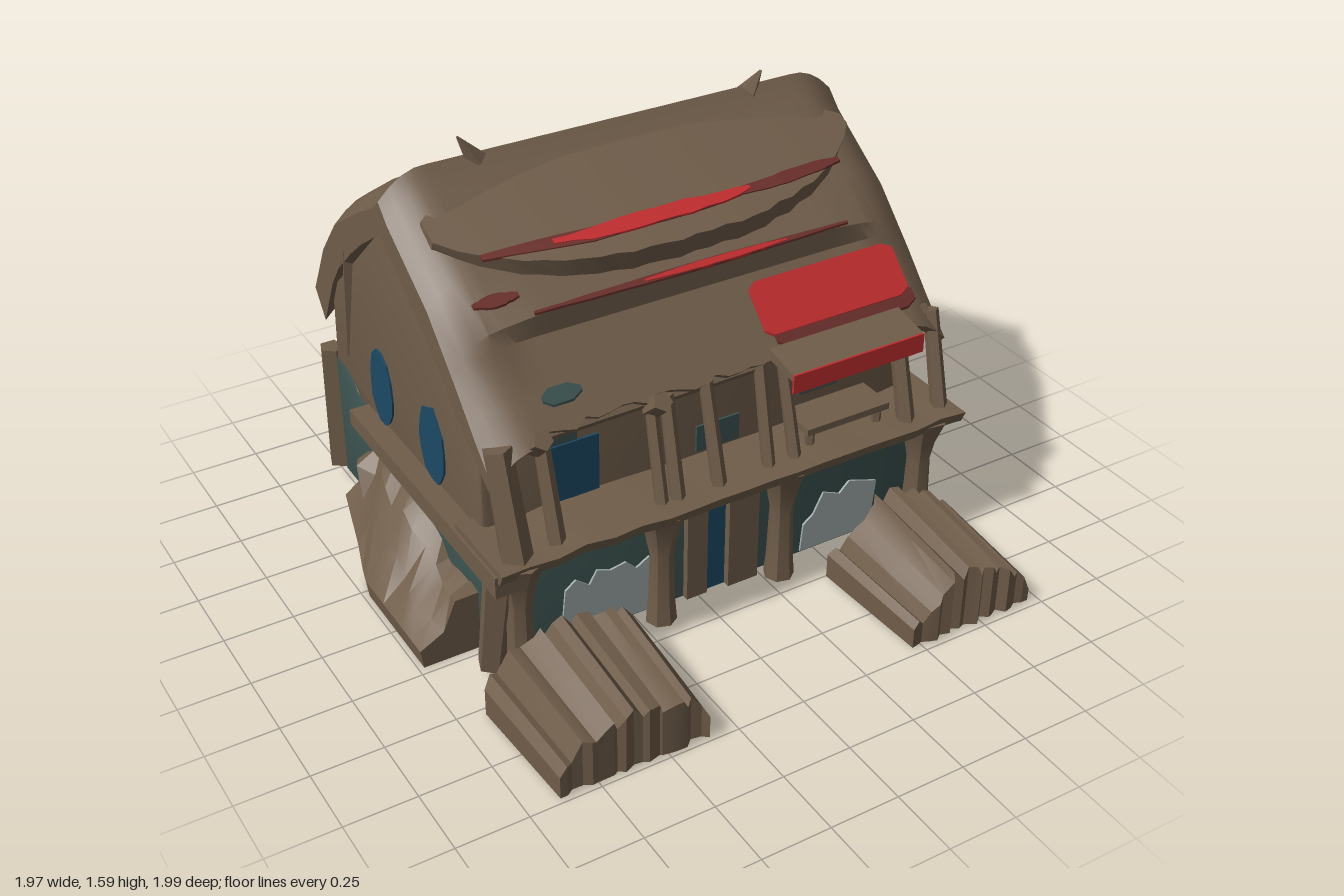
import * as THREE from 'three';
import { toCreasedNormals } from 'three/addons/utils/BufferGeometryUtils.js';

const mat = (name, color) => Object.assign(new THREE.MeshStandardMaterial({ color }), { name });

export function createModel() {
  const house = new THREE.Group();
  house.name = 'house';
  const wood = mat('weathered wood', 0x705d4a);
  const teal = mat('teal plaster', 0x3c5350);
  const red = mat('red paint', 0xc22d2f);
  const darkRed = mat('faded red', 0x6b302b);
  const blue = mat('blue glass', 0x1c4a66);
  const pale = mat('pale plaster', 0x9eaaa8);

  let seed = 7;
  const rnd = (a = 1) => {
    seed = (seed * 16807) % 2147483647;
    return (seed / 2147483647 - 0.5) * 2 * a;
  };
  const add = (name, material, geo) => {
    const m = new THREE.Mesh(geo, material);
    m.name = name;
    house.add(m);
    return m;
  };
  const box = (name, m, x0, x1, y0, y1, z0, z1) => {
    const b = add(name, m, new THREE.BoxGeometry(x1 - x0, y1 - y0, z1 - z0));
    b.position.set((x0 + x1) / 2, (y0 + y1) / 2, (z0 + z1) / 2);
  };
  // Joins equal closed sections; each section is an outer line, then an inner line running back
  const loft = (name, m, rows, crease = 0.6) => {
    const pos = [], n = rows[0].length, last = rows.length - 1;
    const quad = (a, b, c, d) => pos.push(...a, ...b, ...c, ...a, ...c, ...d);
    for (let i = 0; i < last; i++)
      for (let j = 0; j < n; j++) {
        const k = (j + 1) % n;
        quad(rows[i][j], rows[i][k], rows[i + 1][k], rows[i + 1][j]);
      }
    for (let j = 0; j < n / 2 - 1; j++) {
      const c = r => [r[j], r[j + 1], r[n - 2 - j], r[n - 1 - j]];
      quad(...c(rows[last]));
      quad(...c(rows[0]).reverse());
    }
    const g = new THREE.BufferGeometry();
    g.setAttribute('position', new THREE.Float32BufferAttribute(pos, 3));
    g.computeVertexNormals();
    add(name, m, toCreasedNormals(g, crease));
  };
  const steps = (a, b, n) => Array.from({ length: n + 1 }, (_, i) => a + (b - a) * i / n);
  const shapeOf = pts => new THREE.Shape(pts.map(p => new THREE.Vector2(...p)));
  // Side profile in [z, y], drawn out along x with softened edges
  const prism = (name, m, pts, x0, x1, bevel = 0.02) => {
    const g = new THREE.ExtrudeGeometry(shapeOf(pts), {
      depth: x1 - x0 - 2 * bevel, bevelEnabled: bevel > 0, bevelSize: bevel,
      bevelOffset: -bevel, bevelThickness: bevel, bevelSegments: 2
    });
    g.rotateY(-Math.PI / 2).translate(x1 - bevel, 0, 0);
    add(name, m, toCreasedNormals(g, 0.7));
  };
  // Thin painted plate on a wall
  const plate = (name, m, pts, x, y, z, ry = 0) => {
    const p = add(name, m, new THREE.ExtrudeGeometry(shapeOf(pts), { depth: 0.008, bevelEnabled: false }));
    p.position.set(x, y, z);
    p.rotation.y = ry;
  };
  const rect = (w, h) => [[-w / 2, -h / 2], [w / 2, -h / 2], [w / 2, h / 2], [-w / 2, h / 2]];
  const blob = (w, h, wobble = 0.15) => steps(0, 13, 13).map(i => {
    const a = i / 14 * Math.PI * 2, r = 1 + rnd(wobble);
    return [Math.cos(a) * w / 2 * r, Math.sin(a) * h / 2 * r];
  });
  const beam = (name, a, b, r0, r1 = r0) => {
    const s = new THREE.Vector3(...a), e = new THREE.Vector3(...b), d = e.clone().sub(s);
    const g = new THREE.CylinderGeometry(r1, r0, d.length(), 5).toNonIndexed();
    const m = add(name, wood, toCreasedNormals(g, 0.5));
    m.position.copy(s).add(e).multiplyScalar(0.5);
    m.quaternion.setFromUnitVectors(new THREE.Vector3(0, 1, 0), d.normalize());
  };

  // Walls
  prism('lowerWalls', teal, [[0.39, 0.05], [0.39, 0.43], [0.1, 0.45], [-0.4, 0.46], [-0.72, 0.5],
    [-0.78, 0.56], [-0.91, 0.57], [-0.91, 0.05]].reverse(), -0.77, 0.945, 0.025);
  prism('upperWalls', wood, [[0.27, 0.4], [0.27, 0.95], [-0.33, 1.43], [-0.88, 0.98], [-0.905, 0.53],
    [-0.76, 0.51], [-0.7, 0.47], [-0.4, 0.43]].reverse(), -0.765, 0.94, 0.02);

  // Main roof: drooping ends, a fold on the front slope, ragged back eave that meets the wall
  const roofXs = steps(-0.79, 0.965, 40);
  loft('roof', wood, roofXs.map(x => {
    const edge = Math.max(0, Math.min(x + 0.79, 0.965 - x)), droop = Math.max(0, 1 - edge / 0.16) ** 2 * 0.09;
    const fold = Math.min(1, edge / 0.3);
    const j = 0.03 * Math.sin(x * 13) * Math.sin(x * 29 + 1) + rnd(0.01);
    const cut = x > -0.6 && x < 0.27 ? 0.025 + rnd(0.012) : 0;
    const sec = [[-0.965 + j, 0.91 + j], [-0.86, 1.1 + rnd(0.008)], [-0.73, 1.26], [-0.5, 1.41], [-0.38, 1.475], [-0.33, 1.52],
      [-0.27, 1.46], [0, 1.28], [0.17 - 0.02 * (1 - fold), 1.13 + 0.045 * fold], [0.17 + 0.01 * (1 - fold), 1.1],
      [0.3, 0.97], [0.41 - cut, 0.86 + cut],
      [0.38 - cut, 0.83 + cut], [0.27, 0.91], [0.13, 1.02], [0.11, 1.05], [-0.05, 1.19], [-0.28, 1.36],
      [-0.33, 1.4], [-0.38, 1.37], [-0.5, 1.29], [-0.7, 1.13], [-0.8, 1.0], [-0.9 + j * 0.4, 0.81 + j]];
    return sec.map(([z, y]) => [x, y - droop, z]);
  }));
  [[-0.5, 1.585], [0.67, 1.56]].forEach(([x, y]) =>
    beam('ridgeSpike', [x + (x > 0 ? -0.06 : 0.06), 1.49, -0.33], [x, y, -0.335], 0.04, 0.004));

  // Curved overlay sheet lifted off the front slope
  const sheetY = (z, x) => 1.455 - 0.38 * (z + 0.25) - 0.035 * ((x - 0.09) / 0.82) ** 2;
  const lip = x => 0.165 - 0.25 * Math.abs((x - 0.07) / 0.82) ** 2.4;
  loft('roofOverlay', wood, steps(-0.71, 0.91, 28).map(x => {
    const t = Math.abs((x - 0.1) / 0.81), back = -0.27 + 0.08 * t ** 8;
    const z = lip(x) - 0.04 * t ** 10 + rnd(0.006), m = (z + back) / 2, f = 1 - t ** 3;
    return [[back, sheetY(back, x)], [m, sheetY(m, x)], [z, sheetY(z, x)],
      [z - 0.015, sheetY(z, x) - 0.03 - 0.04 * f], [m, sheetY(m, x) - 0.12], [back, 1.35]].map(([a, y]) => [x, y, a]);
  }));
  // Painted streaks that follow a roof surface
  const streak = (name, m, x0, x1, zAt, half, yAt, lift = 0.004) =>
    loft(name, m, steps(x0, x1, 12).map((x, i) => {
      const w = half * (0.3 + 0.7 * Math.sin(Math.PI * i / 12)) + rnd(half * 0.1), z = zAt(x);
      return [[z - w, 0], [z + w, 0], [z + w, -0.008], [z - w, -0.008]].map(([a, d]) => [x, yAt(a, x) + d + lift, a]);
    }));
  const arc = x => 0.055 - 0.12 * Math.max(0, Math.abs(x - 0.02) - 0.25);
  streak('overlayStreak', red, -0.36, 0.38, arc, 0.03, sheetY, 0.007);
  streak('overlayFadedStreak', darkRed, -0.6, 0.5, arc, 0.028, sheetY);
  streak('overlayFadedStreakEnd', darkRed, 0.35, 0.77, x => arc(x) + 0.01, 0.024, sheetY);
  const foldY = z => 1.178 - (z - 0.17) * 0.65;
  streak('foldStreak', darkRed, -0.5, 0.7, () => 0.166, 0.011, foldY, 0.006);
  streak('foldStreakBright', red, -0.1, 0.45, () => 0.168, 0.01, foldY, 0.009);
  streak('foldFadedSpot', darkRed, -0.68, -0.52, () => 0.1, 0.018, z => 1.17 - (z - 0.17) * 0.65, 0.012);
  const backY = z => 1.1 + (z + 0.86) * 1.23;
  streak('backStreak', red, -0.22, 0.45, x => -0.772 + 0.02 * Math.abs(x - 0.1), 0.015, backY, 0.009);
  streak('backStreakEnd', red, 0.4, 0.74, x => -0.766 + 0.03 * (x - 0.4), 0.009, backY, 0.009);
  streak('backFadedStreak', darkRed, -0.6, -0.2, x => -0.765 + 0.08 * (-0.2 - x), 0.02, backY, 0.009);

  // Red roof panel and awning
  const slopeY = z => 0.97 - (z - 0.3) * 1.0;
  const panel = (name, m, x0, x1, z0, z1, lift) => loft(name, m, [x0, x0 + 0.03, x1 - 0.04, x1].map((x, i) => {
    const c = i % 3 ? 0 : 0.015;
    return [[z0 + c, 0], [z1 - c, 0], [z1 - c, -0.009], [z0 + c, -0.009]].map(([z, d]) => [x, slopeY(z) + d + lift, z]);
  }));
  panel('roofPanel', red, 0.27, 0.86, 0.2, 0.335, 0.013);
  panel('roofPanelFadedEdge', darkRed, 0.3, 0.87, 0.31, 0.365, 0.01);
  panel('roofTealPatch', teal, -0.56, -0.42, 0.295, 0.335, 0.012);
  prism('awning', wood, [[0.36, 0.88], [0.5, 0.865], [0.5, 0.89], [0.36, 0.92]], 0.26, 0.79, 0);
  box('awningFascia', red, 0.26, 0.79, 0.82, 0.89, 0.499, 0.508);

  // Balcony deck, wrapping onto both sides
  loft('deck', wood, steps(-0.83, 0.98, 18).map(x => {
    const z = 0.535 + rnd(0.012), y = 0.525 + rnd(0.008);
    return [[0.2, y], [z, y], [z - 0.02, y - 0.045], [0.2, 0.45]].map(([a, b]) => [x, b, a]);
  }));
  const sideLedge = [[0.5, 0.53], [-0.17, 0.53], [-0.16, 0.48], [0.15, 0.43], [0.38, 0.42], [0.5, 0.47]];
  prism('rightLedge', wood, sideLedge, 0.92, 0.965, 0);
  prism('leftLedge', wood, [[0.5, 0.5], [-0.62, 0.5], [-0.62, 0.44], [0.5, 0.42]], -0.84, -0.74, 0);

  // Ground floor columns with flared heads
  [-0.73, -0.2, 0.28, 0.87].forEach((x, i) => {
    const prof = [[0, 0.04], [0.055, 0.04], [0.048, 0.12], [0.042, 0.32], [0.06, 0.41], [0.095, 0.5], [0, 0.5]];
    const g = new THREE.LatheGeometry(prof.map(p => new THREE.Vector2(...p)), 7);
    const c = add('column', wood, toCreasedNormals(g.toNonIndexed(), 0.5));
    c.position.set(x, 0, 0.44);
    c.rotation.y = i;
  });
  // Door, panels and worn plaster
  box('doorFrameLeft', wood, -0.08, 0, 0.05, 0.46, 0.36, 0.415);
  box('doorFrameRight', wood, 0.08, 0.2, 0.05, 0.46, 0.36, 0.425);
  plate('door', blue, rect(0.08, 0.41), 0.04, 0.255, 0.391);
  plate('leftWornPlaster', pale, [[-0.56, 0.06], [-0.22, 0.06], [-0.22, 0.28], [-0.27, 0.25], [-0.31, 0.29], [-0.37, 0.28],
    [-0.42, 0.3], [-0.45, 0.25], [-0.5, 0.29], [-0.54, 0.26]], 0, 0, 0.391);
  plate('rightWornPlaster', pale, [[0.4, 0.06], [0.7, 0.06], [0.72, 0.25], [0.6, 0.29], [0.56, 0.25], [0.49, 0.28],
    [0.45, 0.2], [0.41, 0.17]], 0, 0, 0.391);

  // Upper gallery: posts, lintels, windows and bench
  [[-0.75, 0.05], [-0.6, 0.028], [-0.2, 0.022], [-0.14, 0.025], [0.01, 0.025], [0.22, 0.022], [0.31, 0.022], [0.78, 0.03], [0.93, 0.028]]
    .forEach(([x, r]) => beam('galleryPost', [x + rnd(0.01), 0.5, 0.455], [x, 0.875, 0.365], r * 1.15, r));
  [[-0.6, -0.2], [-0.14, 0.24], [0.3, 0.92]].forEach(([a, b]) =>
    beam('galleryLintel', [a, 0.86, 0.345], [b, 0.865, 0.345], 0.028));
  [-0.62, -0.19].forEach(x => beam('bracketHead', [x, 0.84, 0.36], [x, 0.9, 0.43], 0.04, 0.035));
  plate('upperBlueWindow', blue, rect(0.2, 0.22), -0.44, 0.635, 0.272);
  plate('upperTealPatch', teal, rect(0.12, 0.04), -0.48, 0.77, 0.272);
  plate('upperTealPanel', teal, rect(0.17, 0.1), 0.12, 0.59, 0.272);
  plate('upperTealWindow', teal, rect(0.16, 0.1), 0.53, 0.68, 0.272);
  box('bench', wood, 0.37, 0.71, 0.585, 0.61, 0.3, 0.45);
  [0.4, 0.68].forEach(x => beam('benchLeg', [x, 0.5, 0.42], [x, 0.6, 0.42], 0.018));

  // Right wall marks and boards
  const half = Math.PI / 2;
  [[-0.1, 0.265, 0.16, 0.085], [-0.49, 0.265, 0.13, 0.075], [-0.305, 0.855, 0.05, 0.05]].forEach(([z, y, w, h]) =>
    plate('rightWallPatch', pale, blob(w, h), 0.94, y, z, half));
  box('rightHood', wood, 0.92, 0.97, 0.88, 0.91, -0.17, 0.02);
  [0.925, -0.75].forEach(x => {
    beam('gableBraceBack', [x, 0.62, -0.78], [x, 1.1, -0.68], 0.02, 0.045);
    beam('gableBoardFront', [x, 0.84, 0.31], [x, 1.36, -0.3], 0.04);
    beam('gableBoardBack', [x, 0.9, -0.86], [x, 1.36, -0.36], 0.04);
  });

  // Left wall windows, leaning rubble and corner post
  [[-0.48, 0.64], [-0.08, 0.64]].forEach(([z, y]) =>
    plate('leftWindow', blue, blob(0.18, 0.3, 0.08), -0.764, y, z, -half));
  loft('leftRubble', wood, steps(-0.66, 0.22, 12).map((z, i) => {
    const k = 0.7 + 0.35 * Math.sin(Math.PI * Math.min(1, i / 10 + 0.1)), j = () => rnd(0.025);
    const out = i > 5 ? -0.99 : -0.87 - 0.02 * i, base = i > 4 ? 0 : 0.05;
    return [[-0.74, 0.36 * k + j()], [-0.83 + j(), 0.3 * k + j()], [out + 0.07 + j(), 0.2 * k + j()],
      [out, base + 0.07], [out + 0.01, base], [out + 0.08, base], [-0.8, base], [-0.74, base]]
      .map(([x, y]) => [x, y, z]);
  }), 0.35);
  beam('backCornerPost', [-0.77, 0.08, -0.93], [-0.77, 0.58, -0.93], 0.05, 0.045);
  beam('leftCornerPost', [-0.8, 0.04, 0.36], [-0.78, 0.48, 0.42], 0.05, 0.06);

  // Log piles: uneven ridges along z, taller toward the house
  const pile = (name, x0, x1, z1, heights) => {
    const n = 20, w = (x1 - x0) / n;
    const xs = steps(x1, x0, n).map((x, i) => x + (i % n ? rnd(w * 0.4) : 0));
    const top = xs.map((x, i) => {
      const t = (x - x0) / (x1 - x0) * (heights.length - 1);
      const k = THREE.MathUtils.clamp(Math.floor(t), 0, heights.length - 2);
      return heights[k] + (heights[k + 1] - heights[k]) * (t - k) + (i % 3 ? 0.012 : -0.02) + rnd(0.014);
    });
    const ends = xs.map(() => [rnd(0.015), rnd(0.015)]);
    loft(name, wood, [0, 0.5, 1].map(s => {
      const z = i => 0.52 + (z1 - 0.52) * s + (s === 0.5 ? 0 : ends[i][s]);
      const squeeze = x => x + (x0 + x1 - 2 * x) * 0.04 * s;
      const line = xs.map((x, i) => [squeeze(x), Math.max(0.03, top[i] * (1.06 - 0.2 * s)), z(i)]);
      return [...line, ...xs.map((x, i) => [squeeze(x), 0.005, z(i)]).reverse()];
    }), 0.3);
  };
  pile('leftLogPile', -0.91, -0.33, 0.98, [0.09, 0.19, 0.23, 0.24, 0.22, 0.21, 0.13]);
  pile('rightLogPile', 0.44, 0.98, 0.97, [0.07, 0.17, 0.26, 0.27, 0.23, 0.18, 0.09]);

  return house;
}
